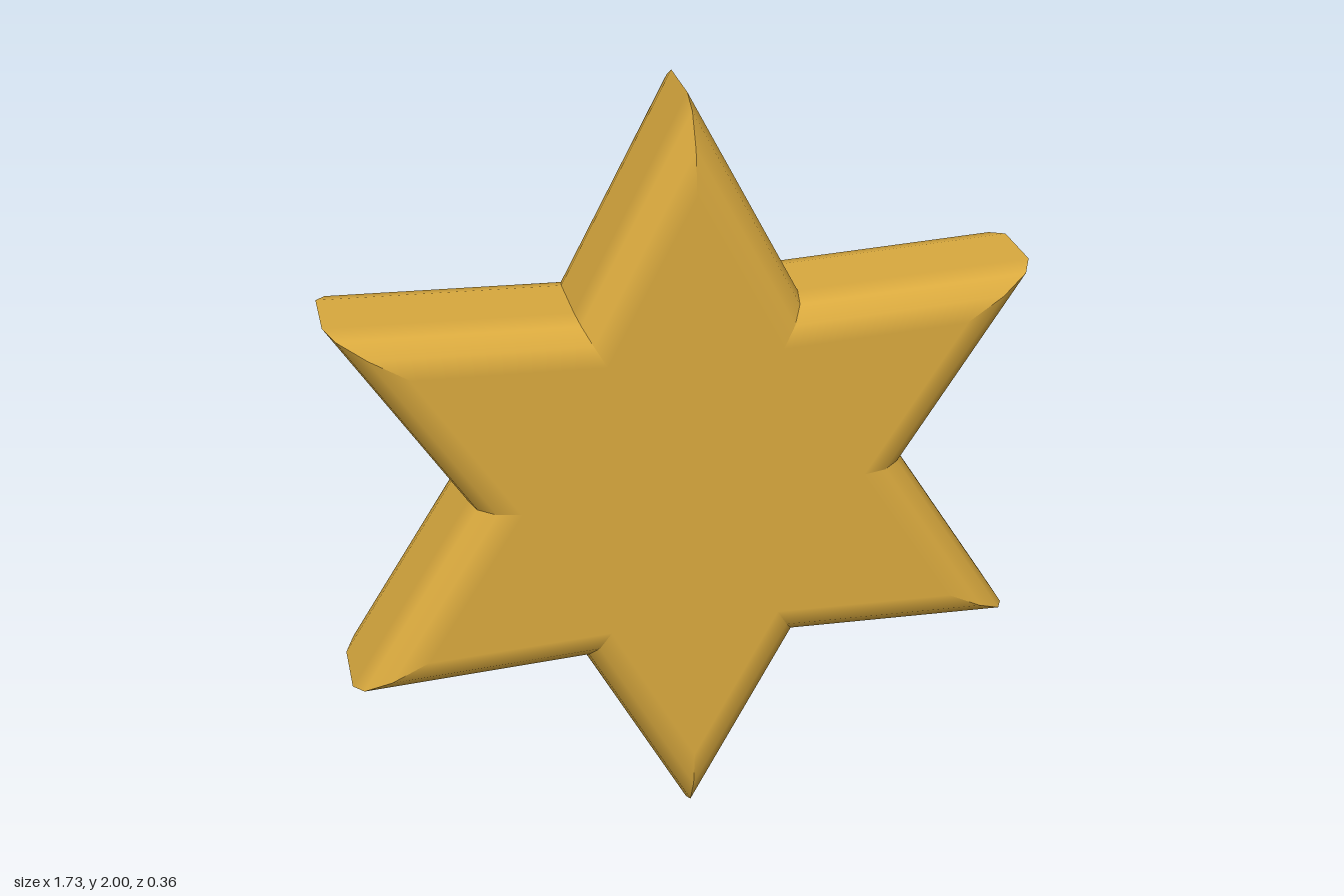
import * as THREE from 'three';

const POINTS = 6, OUTER = 1, INNER = 0.55; // star outline
const HALF_WALL = 0.08, BEVEL = 0.1, STEPS = 3; // straight rim and rounded edge

// Outline corner i (even = tip, odd = valley) as a unit direction and radius
function corner(i) {
  const a = Math.PI / 2 - (i * Math.PI) / POINTS;
  return { dir: new THREE.Vector2(Math.cos(a), Math.sin(a)), radius: i % 2 ? INNER : OUTER };
}

// Corner moved inwards so that both adjoining edges shift by the inset
function insetCorner(c, normal, inset) {
  return c.dir.clone().multiplyScalar(c.radius - inset / normal.dot(c.dir));
}

// Rounded rim section from back to front: inset, depth and slope of the normal
function rimProfile() {
  const rows = [];
  for (const side of [-1, 1]) {
    for (let s = 0; s <= STEPS; s++) {
      const t = ((side < 0 ? s - STEPS : s) / STEPS) * (Math.PI / 2);
      rows.push({ inset: BEVEL * (1 - Math.cos(t)), z: side * HALF_WALL + BEVEL * Math.sin(t), t });
    }
  }
  return rows;
}

function starGeometry() {
  const pos = [], nor = [], idx = [];
  const add = (x, y, z, nx, ny, nz) => {
    pos.push(x, y, z);
    nor.push(nx, ny, nz);
    return pos.length / 3 - 1;
  };
  const rows = rimProfile();

  for (let i = 0; i < POINTS * 2; i++) {
    const a = corner(i), b = corner(i + 1);
    const pa = a.dir.clone().multiplyScalar(a.radius);
    const pb = b.dir.clone().multiplyScalar(b.radius);
    const edge = pb.sub(pa).normalize();
    const n = new THREE.Vector2(-edge.y, edge.x); // outward, outline runs clockwise

    // Smooth rim strip, with sharp mitres between neighbouring edges
    const start = pos.length / 3;
    for (const { inset, z, t } of rows) {
      for (const c of [a, b]) {
        const p = insetCorner(c, n, inset);
        add(p.x, p.y, z, n.x * Math.cos(t), n.y * Math.cos(t), Math.sin(t));
      }
    }
    for (let r = 0; r < rows.length - 1; r++) {
      const k = start + r * 2;
      idx.push(k, k + 2, k + 1, k + 1, k + 2, k + 3);
    }

    // Flat front and back wedges
    const qa = insetCorner(a, n, BEVEL), qb = insetCorner(b, n, BEVEL);
    for (const s of [1, -1]) {
      const z = s * (HALF_WALL + BEVEL);
      const o = add(0, 0, z, 0, 0, s);
      const va = add(qa.x, qa.y, z, 0, 0, s);
      const vb = add(qb.x, qb.y, z, 0, 0, s);
      if (s > 0) idx.push(o, vb, va);
      else idx.push(o, va, vb);
    }
  }

  const g = new THREE.BufferGeometry();
  g.setAttribute('position', new THREE.Float32BufferAttribute(pos, 3));
  g.setAttribute('normal', new THREE.Float32BufferAttribute(nor, 3));
  g.setIndex(idx);
  return g;
}

export function createModel() {
  const gold = new THREE.MeshStandardMaterial({ color: 0xd9a93e });
  gold.name = 'gold';

  const star = new THREE.Mesh(starGeometry(), gold);
  star.name = 'star';
  star.position.y = OUTER;

  const model = new THREE.Group();
  model.name = 'sixPointedStar';
  model.add(star);
  return model;
}
